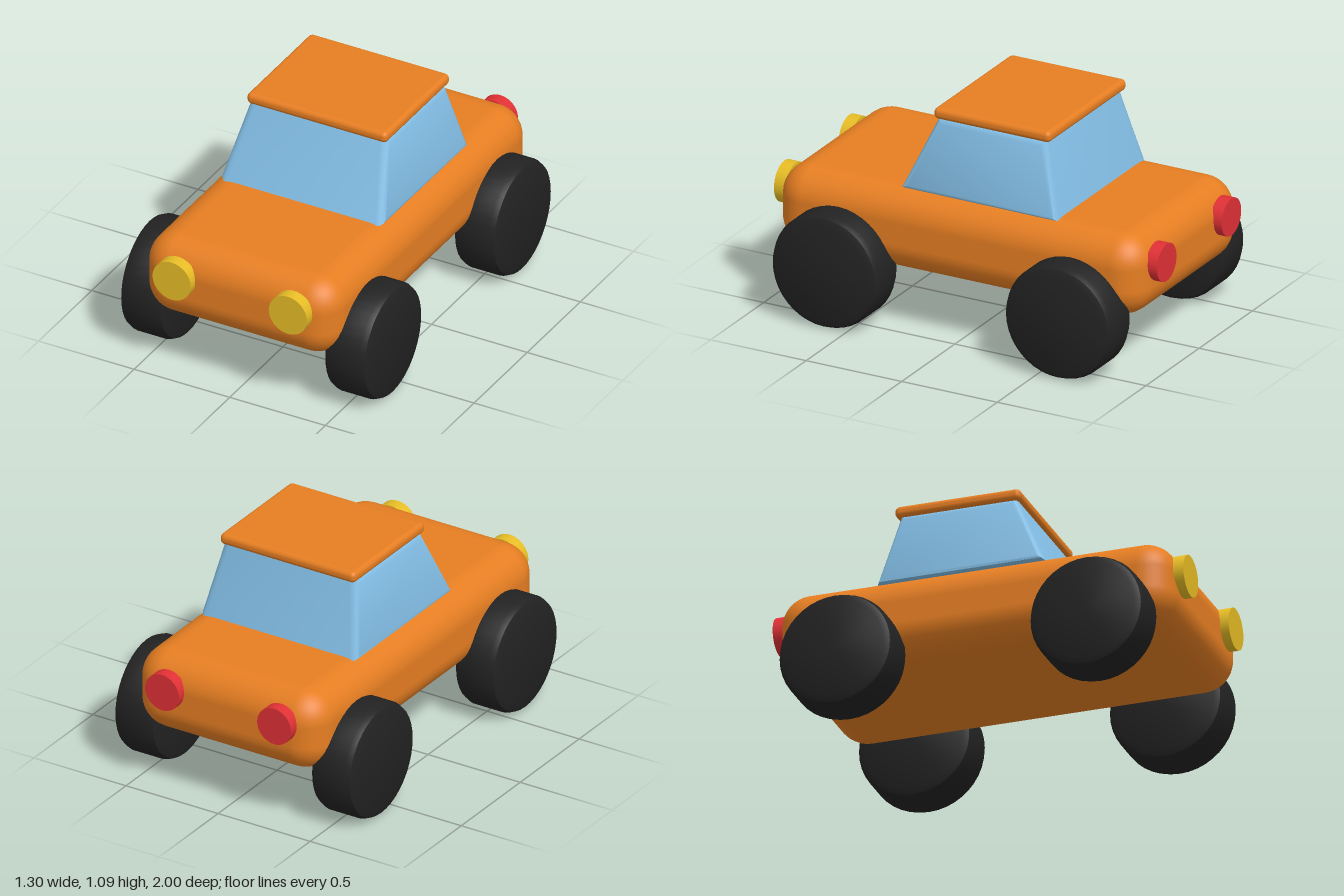
import * as THREE from 'three';
import { toCreasedNormals } from 'three/addons/utils/BufferGeometryUtils.js';
import { RoundedBoxGeometry } from 'three/addons/geometries/RoundedBoxGeometry.js';

const material = (name, color) => {
  const m = new THREE.MeshStandardMaterial({ color });
  m.name = name;
  return m;
};

export function createModel() {
  const orange = material('orange paint', 0xe67e22);
  const blue = material('blue glass', 0x85c1e9);
  const black = material('black rubber', 0x222222);
  const yellow = material('yellow lamp', 0xe6bc25);
  const red = material('red lamp', 0xe03035);

  const car = new THREE.Group();
  car.name = 'car';
  const add = (name, geometry, mat, x, y, z) => {
    const mesh = new THREE.Mesh(geometry, mat);
    mesh.name = name;
    mesh.position.set(x, y, z);
    car.add(mesh);
    return mesh;
  };

  // Body and roof slab
  add('body', new RoundedBoxGeometry(1.012, 0.405, 1.916, 5, 0.15), orange, 0, 0.4825, 0);
  add('roof', new RoundedBoxGeometry(0.734, 0.056, 0.61, 4, 0.024), orange, 0, 1.058, -0.115);

  // Cabin: side profile (z, y) extruded across the car, with bevelled sides
  const bevel = 0.03;
  const profile = new THREE.Shape([
    [0.295, 0.70], [0.15, 1.01], [-0.37, 1.01], [-0.455, 0.70],
  ].map(([z, y]) => new THREE.Vector2(-z, y)));
  const cabin = new THREE.ExtrudeGeometry(profile, {
    depth: 0.76, bevelThickness: 0.04, bevelSize: bevel, bevelSegments: 3,
  });
  cabin.translate(0, 0, -0.38).rotateY(Math.PI / 2);
  // Narrow the cabin towards the top
  const p = cabin.attributes.position;
  for (let i = 0; i < p.count; i++) {
    p.setX(i, p.getX(i) * (1.02 - 0.46 * (p.getY(i) - 0.68)));
  }
  add('cabin', toCreasedNormals(cabin, 0.7), blue, 0, 0, 0);

  // Wheels: lathe with rounded shoulders
  const R = 0.279, H = 0.114, b = 0.04;
  const outline = [[0, -H], [R - b, -H], [R - 0.012, -H + 0.012], [R, -H + b],
    [R, H - b], [R - 0.012, H - 0.012], [R - b, H], [0, H]];
  const wheel = toCreasedNormals(
    new THREE.LatheGeometry(outline.map(([r, y]) => new THREE.Vector2(r, y)), 40).rotateZ(Math.PI / 2), 0.6);

  // Lamps
  const headlight = new THREE.CylinderGeometry(0.1, 0.1, 0.06, 32).rotateX(Math.PI / 2);
  const tailLight = new THREE.CylinderGeometry(0.092, 0.092, 0.06, 32).rotateX(Math.PI / 2);

  for (const [side, s] of [['left', 1], ['right', -1]]) {
    add(side + 'FrontWheel', wheel, black, s * 0.534, 0.28, 0.61);
    add(side + 'RearWheel', wheel, black, s * 0.534, 0.28, -0.61);
    add(side + 'Headlight', headlight, yellow, s * 0.304, 0.535, 0.97);
    add(side + 'TailLight', tailLight, red, s * 0.304, 0.54, -0.97);
  }
  return car;
}
